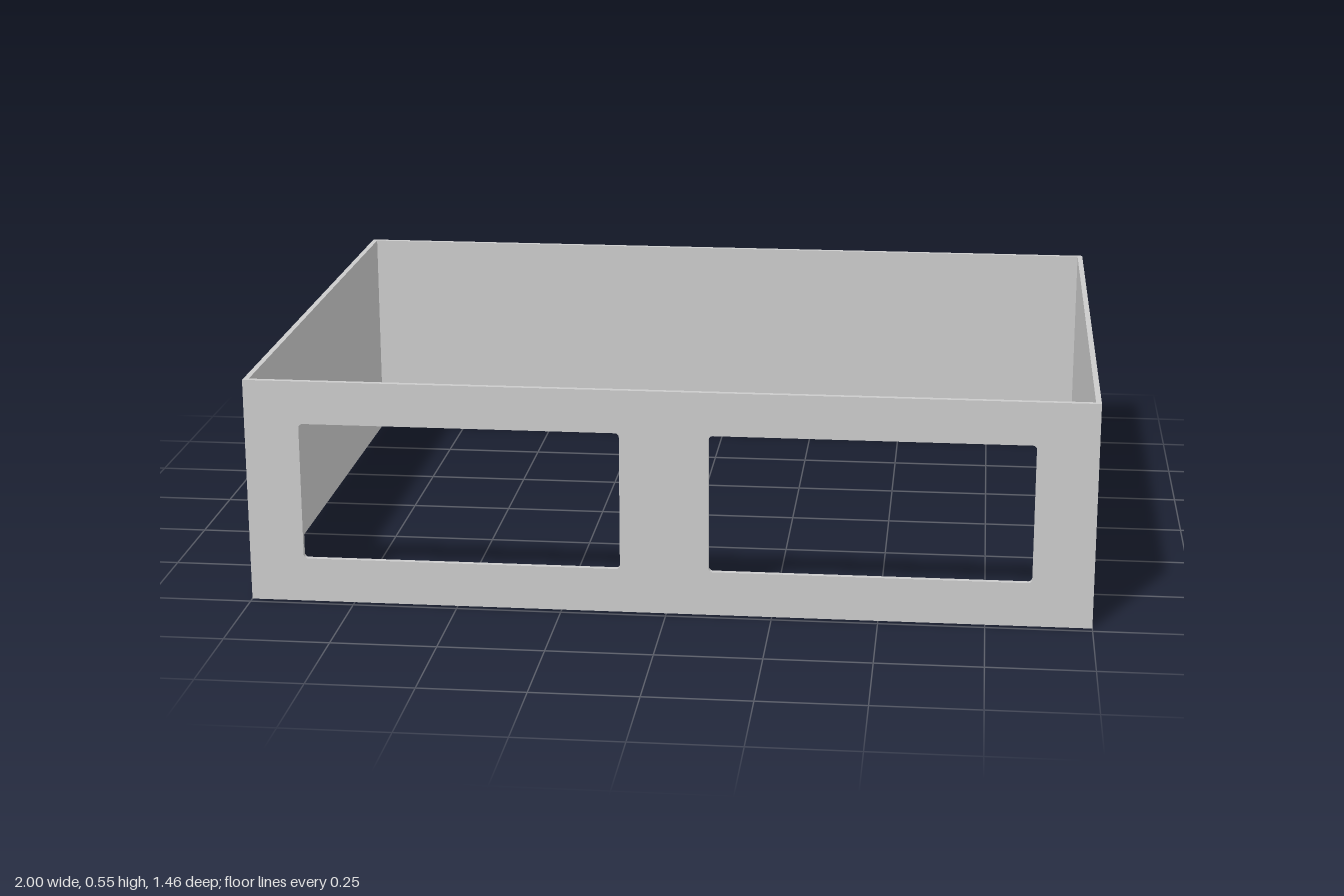
import * as THREE from 'three';

const W = 2, H = 0.546, D = 1.464, T = 0.013;

// Rectangular opening with slightly rounded corners
function windowHole(x0, x1, y0, y1, r) {
  const p = new THREE.Path();
  p.moveTo(x0 + r, y0);
  p.absarc(x1 - r, y0 + r, r, -Math.PI / 2, 0, false);
  p.absarc(x1 - r, y1 - r, r, 0, Math.PI / 2, false);
  p.absarc(x0 + r, y1 - r, r, Math.PI / 2, Math.PI, false);
  p.absarc(x0 + r, y0 + r, r, Math.PI, Math.PI * 1.5, false);
  return p;
}

export function createModel() {
  const group = new THREE.Group();
  group.name = 'openFrame';
  const material = new THREE.MeshStandardMaterial({ color: 0xcccccc });

  const add = (name, geometry, x, y, z) => {
    const mesh = new THREE.Mesh(geometry, material);
    mesh.name = name;
    mesh.position.set(x, y, z);
    group.add(mesh);
  };

  // Front wall with two windows
  const front = new THREE.Shape([
    new THREE.Vector2(-W / 2, 0),
    new THREE.Vector2(W / 2, 0),
    new THREE.Vector2(W / 2, H),
    new THREE.Vector2(-W / 2, H),
  ]);
  for (const [x0, x1] of [[-0.87, -0.11], [0.1, 0.857]]) {
    front.holes.push(windowHole(x0, x1, 0.107, 0.442, 0.01));
  }
  const frontGeometry = new THREE.ExtrudeGeometry(front, { depth: T, bevelEnabled: false, curveSegments: 6 });
  add('frontWall', frontGeometry, 0, 0, D / 2 - T);

  // Plain back wall
  add('backWall', new THREE.BoxGeometry(W, H, T), 0, H / 2, -D / 2 + T / 2);

  // Side walls fitted between front and back
  for (const [name, side] of [['leftWall', 1], ['rightWall', -1]]) {
    add(name, new THREE.BoxGeometry(T, H, D - 2 * T), side * (W - T) / 2, H / 2, 0);
  }

  return group;
}
